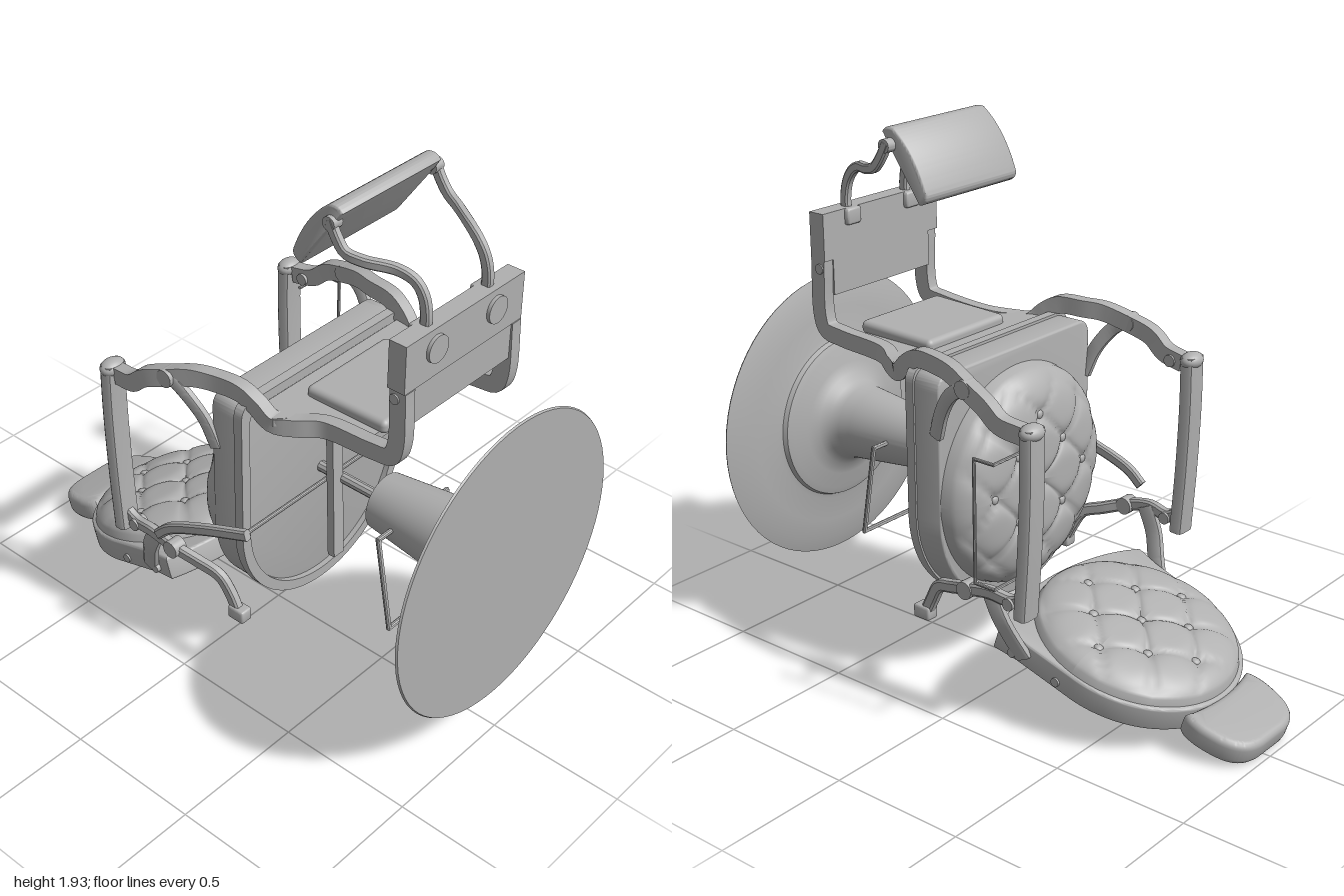
import * as THREE from 'three';
import { toCreasedNormals, mergeGeometries } from 'three/addons/utils/BufferGeometryUtils.js';
import { RoundedBoxGeometry } from 'three/addons/geometries/RoundedBoxGeometry.js';

const grey = new THREE.MeshStandardMaterial({ color: 0xb0b0b0 });
grey.name = 'grey';
const V = (x, y, z) => new THREE.Vector3(x, y, z);

function add(parent, name, geo, crease = 0.6) {
  const mesh = new THREE.Mesh(crease ? toCreasedNormals(geo, crease) : geo, grey);
  mesh.name = name;
  parent.add(mesh);
  return mesh;
}

// Sweeps a cross-section (w across x, t in the side plane) along a smooth path
function bar(pts, w, t, sides = 8, steps = 36) {
  const curve = new THREE.CatmullRomCurve3(pts.map(p => V(...p)), false, 'centripetal');
  const pos = [], idx = [], power = sides === 4 ? 0 : 0.5;
  for (let i = 0; i <= steps; i++) {
    const p = curve.getPointAt(i / steps), T = curve.getTangentAt(i / steps);
    const X = V(1, 0, 0).addScaledVector(T, -T.x).normalize();
    const N = T.clone().cross(X);
    for (let j = 0; j < sides; j++) {
      const a = (j + 0.5) / sides * Math.PI * 2, c = Math.cos(a), s = Math.sin(a);
      const q = p.clone()
        .addScaledVector(X, Math.sign(c) * Math.abs(c) ** power * w / 2)
        .addScaledVector(N, Math.sign(s) * Math.abs(s) ** power * t / 2);
      pos.push(q.x, q.y, q.z);
      const k = (j + 1) % sides, b = i * sides;
      if (i < steps) idx.push(b + j, b + k, b + sides + j, b + k, b + sides + k, b + sides + j);
    }
  }
  const e = steps * sides;
  for (let j = 1; j < sides - 1; j++) idx.push(0, j + 1, j, e, e + j, e + j + 1);
  const g = new THREE.BufferGeometry();
  g.setAttribute('position', new THREE.Float32BufferAttribute(pos, 3));
  g.setIndex(idx);
  return g;
}

// Round rod with straight segments
function rod(pts, r) {
  const parts = [];
  for (let i = 0; i < pts.length - 1; i++) {
    const a = V(...pts[i]), b = V(...pts[i + 1]), d = b.clone().sub(a);
    const g = new THREE.CylinderGeometry(r, r, d.length() + r, 10);
    g.applyQuaternion(new THREE.Quaternion().setFromUnitVectors(V(0, 1, 0), d.normalize()));
    g.translate((a.x + b.x) / 2, (a.y + b.y) / 2, (a.z + b.z) / 2);
    parts.push(g);
  }
  return mergeGeometries(parts);
}

const pin = (x, y, z, r, len) => new THREE.CylinderGeometry(r, r, len, 20).rotateZ(Math.PI / 2).translate(x, y, z);

function extrude(shape, depth, bevel = 0) {
  const g = new THREE.ExtrudeGeometry(shape, {
    depth: depth - 2 * bevel, curveSegments: 32, bevelEnabled: bevel > 0,
    bevelSize: bevel, bevelThickness: bevel, bevelOffset: -bevel, bevelSegments: 4
  });
  return g.translate(0, 0, bevel);
}

// Buttoned round cushion, domed towards +z
function cushion(parent, name, R, H) {
  const cell = 0.24;
  const height = (x, y) => {
    const r = Math.min(1, Math.hypot(x, y) / R);
    const dist = v => Math.abs(v - Math.round(v / cell) * cell);
    const a = dist(x + y), b = dist(x - y);
    const groove = 0.012 * Math.max(Math.exp(-a / 0.015), Math.exp(-b / 0.015));
    const dimple = 0.016 * Math.exp(-(a * a + b * b) / 0.003);
    return H * Math.sqrt(1 - r ** 4) - (groove + dimple) * (1 - r ** 6);
  };
  const g = new THREE.RingGeometry(0.001, R, 96, 44), p = g.attributes.position;
  for (let i = 0; i < p.count; i++) p.setZ(i, height(p.getX(i), p.getY(i)));
  g.computeVertexNormals();
  const group = new THREE.Group();
  group.name = name;
  add(group, name + 'Pad', g, 0);
  for (let i = -1; i <= 1; i++) for (let j = -1; j <= 1; j++) {
    const x = (i + j) * cell / 2, y = (i - j) * cell / 2;
    const b = new THREE.SphereGeometry(0.017, 14, 8).scale(1, 1, 0.6).translate(x, y, height(x, y) + 0.004);
    add(group, name + 'Button', b, 0);
  }
  parent.add(group);
  return group;
}

// D-shaped outline: half circle at the rear, squared at the front
function seatShape(r, front) {
  const s = new THREE.Shape();
  s.moveTo(r, 0.67);
  s.lineTo(r, front - 0.06);
  s.quadraticCurveTo(r, front, r - 0.06, front);
  s.lineTo(-r + 0.06, front);
  s.quadraticCurveTo(-r, front, -r, front - 0.06);
  s.lineTo(-r, 0.67);
  s.absarc(0, 0.67, r, Math.PI, Math.PI * 2, false);
  return s;
}

export function createModel() {
  const root = new THREE.Group();
  root.name = 'recliningChair';
  root.position.x = -0.02;

  // Pedestal, its axis along z
  const profile = [[0, -1], [0.546, -1], [0.55, -0.993], [0.5, -0.977], [0.42, -0.965], [0.33, -0.957], [0.312, -0.952],
    [0.305, -0.935], [0.28, -0.926], [0.22, -0.914], [0.178, -0.9], [0.152, -0.875], [0.139, -0.84], [0.134, -0.79], [0.102, -0.5], [0, -0.5]];
  add(root, 'pedestal', new THREE.LatheGeometry(profile.map(p => new THREE.Vector2(...p)), 72)
    .rotateX(-Math.PI / 2).translate(0, 0.732, 0));
  add(root, 'liftRod', rod([[0, 0.732, 0.52], [0, 0.732, 0.2]], 0.02));
  add(root, 'pumpLever', rod([[-0.18, 0.39, 0.68], [-0.18, 0.735, 0.62], [0.18, 0.735, 0.62], [0.18, 0.39, 0.68], [-0.18, 0.39, 0.68]], 0.009));

  // Seat
  add(root, 'seatFrame', extrude(seatShape(0.406, 1.19), 0.12, 0.01).translate(0, 0, 0.095));
  const rim = seatShape(0.413, 1.2);
  rim.holes.push(new THREE.Path(seatShape(0.375, 1.165).getPoints(32)));
  add(root, 'seatRim', extrude(rim, 0.035).translate(0, 0, 0.2));
  const seat = cushion(root, 'seatCushion', 0.403, 0.135);
  seat.position.set(0, 0.725, 0.1);
  seat.rotation.x = Math.PI;
  add(root, 'underBar', bar([[-0.03, 1.13, 0.29], [-0.03, 0.42, 0.315]], 0.05, 0.03, 4, 1));
  add(root, 'crossRod', rod([[-0.44, 0.73, 0.275], [0.22, 0.73, 0.275]], 0.008));
  add(root, 'catch', bar([[0, 0.7, 0.3], [0, 0.79, 0.26]], 0.03, 0.015, 4, 1));

  // Backrest and headrest, leaning back
  const back = new THREE.Group();
  back.name = 'backrest';
  back.position.set(0, 0.255, -0.47);
  back.rotation.x = -(Math.PI / 2 + 0.315);
  root.add(back);
  const bs = new THREE.Shape();
  bs.moveTo(0.377, -0.03);
  bs.absarc(0, -0.03, 0.377, 0, Math.PI, false);
  bs.lineTo(-0.385, -0.24);
  bs.lineTo(-0.4, -0.33);
  bs.quadraticCurveTo(-0.25, -0.41, 0, -0.415);
  bs.quadraticCurveTo(0.25, -0.41, 0.4, -0.33);
  bs.lineTo(0.385, -0.24);
  add(back, 'backFrame', extrude(bs, 0.09, 0.01).translate(0, 0, -0.09));
  cushion(back, 'backCushion', 0.365, 0.08).position.y = -0.035;
  const hs = new THREE.Shape();
  hs.moveTo(-0.18, 0.315);
  hs.quadraticCurveTo(0, 0.36, 0.18, 0.315);
  hs.quadraticCurveTo(0.2, 0.33, 0.2, 0.39);
  hs.bezierCurveTo(0.19, 0.51, 0.15, 0.555, 0.06, 0.56);
  hs.lineTo(-0.06, 0.56);
  hs.bezierCurveTo(-0.15, 0.555, -0.19, 0.51, -0.2, 0.39);
  hs.quadraticCurveTo(-0.2, 0.33, -0.18, 0.315);
  add(back, 'headrest', extrude(hs, 0.09, 0.025).translate(0, 0, -0.087), 0.7);

  // Side frames, arms and footrest struts, mirrored
  for (const s of [1, -1]) {
    const m = pts => pts.map(([x, y, z]) => [x * s, y, z]);
    const side = new THREE.Group();
    side.name = s > 0 ? 'leftSide' : 'rightSide';
    root.add(side);
    add(side, 'sideStrut', bar(m([[0.265, 1.44, 0.755], [0.265, 1.24, 0.755], [0.265, 1.19, 0.735], [0.265, 1.175, 0.66], [0.27, 1.16, 0.46],
      [0.315, 1.15, 0.38], [0.35, 1.152, 0.31], [0.365, 1.2, 0.255], [0.375, 1.23, 0.2], [0.39, 1.232, 0.1],
      [0.41, 1.228, 0.03], [0.435, 1.2, -0.06], [0.452, 1.165, -0.15], [0.45, 1.118, -0.21], [0.44, 1.1, -0.3]]), 0.045, 0.062, 4, 90));
    add(side, 'frontArmBrace', bar(m([[0.4, 0.98, 0.11], [0.415, 1.08, 0.07], [0.435, 1.16, 0.01], [0.44, 1.2, -0.05]]), 0.03, 0.05));
    // The rear brace runs down past the rounded seat end to a small foot
    add(side, 'rearArmBrace', bar(m([[0.388, 0.31, 0.18], [0.39, 0.37, 0.15], [0.4, 0.43, 0.11], [0.42, 0.46, 0.03], [0.445, 0.49, -0.06],
      [0.45, 0.51, -0.16], [0.44, 0.5, -0.25], [0.44, 0.53, -0.31]]), 0.035, 0.045, 8, 50));
    add(side, 'braceFoot', new RoundedBoxGeometry(0.05, 0.05, 0.07, 2, 0.008).translate(0.388 * s, 0.305, 0.19));
    add(side, 'backBracket', bar(m([[0.44, 0.51, -0.15], [0.435, 0.42, -0.19], [0.41, 0.34, -0.22], [0.385, 0.27, -0.25]]), 0.03, 0.065));
    add(side, 'armrest', bar(m([[0.44, 1.13, -0.33], [0.44, 0.95, -0.33], [0.44, 0.7, -0.32], [0.44, 0.46, -0.303]]), 0.085, 0.055, 12));
    add(side, 'armScroll', new THREE.SphereGeometry(1, 20, 14).scale(0.05, 0.03, 0.037).translate(0.44 * s, 1.115, -0.33), 0);
    for (const [x, y, z, r] of [[0.44, 1.2, -0.06, 0.032], [0.445, 0.49, -0.06, 0.032], [0.44, 1.1, -0.25, 0.022],
      [0.44, 0.495, -0.245, 0.022], [0.38, 0.28, -0.21, 0.016], [0.36, 0.22, -0.38, 0.016], [0.267, 1.41, 0.745, 0.018]])
      add(side, 'pivot', pin(x * s, y, z, r, 0.052));

    // Calf pad arms and footplate bosses
    add(side, 'calfPadArm', bar(m([[0.15, 1.58, 0.74], [0.15, 1.64, 0.743], [0.15, 1.7, 0.73], [0.155, 1.742, 0.7],
      [0.175, 1.768, 0.65], [0.225, 1.783, 0.56], [0.245, 1.8, 0.505], [0.247, 1.84, 0.472], [0.247, 1.89, 0.445]]), 0.03, 0.036));
    add(side, 'calfPadPivot', pin(0.24 * s, 1.88, 0.45, 0.024, 0.04));
    add(side, 'footplateBoss', new THREE.CylinderGeometry(0.047, 0.047, 0.014, 32).rotateX(Math.PI / 2).translate(0.147 * s, 1.54, 0.788));
    add(side, 'armFoot', new RoundedBoxGeometry(0.07, 0.06, 0.03, 2, 0.01).translate(0.15 * s, 1.58, 0.715));
  }

  // Footrest panel, pad and plate
  const ps = new THREE.Shape();
  [[0.37, 0.25], [0.37, 0.33], [0.325, 0.37], [0.285, 0.43], [0.28, 0.62], [-0.28, 0.62], [-0.285, 0.43], [-0.325, 0.37], [-0.37, 0.33], [-0.37, 0.25]]
    .forEach(([x, z], i) => i ? ps.lineTo(x, z) : ps.moveTo(x, z));
  add(root, 'legPanel', extrude(ps, 0.03).rotateX(Math.PI / 2).translate(0, 1.18, 0));
  add(root, 'legPanelPad', new RoundedBoxGeometry(0.4, 0.05, 0.33, 3, 0.02).rotateX(-0.03).translate(0, 1.193, 0.48), 0);
  add(root, 'footplate', new THREE.BoxGeometry(0.58, 0.17, 0.066).translate(0, 1.525, 0.75));
  add(root, 'footplateLower', new THREE.BoxGeometry(0.49, 0.13, 0.06).translate(0, 1.375, 0.75));

  // Calf pad: side outline extruded across x
  const cs = new THREE.Shape();
  cs.moveTo(-0.468, 1.885);
  cs.lineTo(-0.49, 1.92);
  cs.quadraticCurveTo(-0.475, 1.945, -0.44, 1.937);
  cs.quadraticCurveTo(-0.345, 1.87, -0.295, 1.73);
  cs.quadraticCurveTo(-0.29, 1.7, -0.33, 1.69);
  cs.closePath();
  add(root, 'calfPad', extrude(cs, 0.47, 0.01).rotateY(Math.PI / 2).translate(-0.245, 0, 0));

  // Towel rail on the left arm, recline lever on the right
  add(root, 'towelRail', rod([[0.45, 1.037, -0.285], [0.575, 1.037, -0.285], [0.575, 1.037, -0.205], [0.575, 0.605, -0.205],
    [0.575, 0.605, -0.285], [0.45, 0.605, -0.285]], 0.006));
  add(root, 'reclineLever', bar([[-0.49, 0.56, -0.09], [-0.485, 0.61, -0.035], [-0.47, 0.67, 0.1], [-0.445, 0.73, 0.285]], 0.03, 0.04));
  return root;
}
